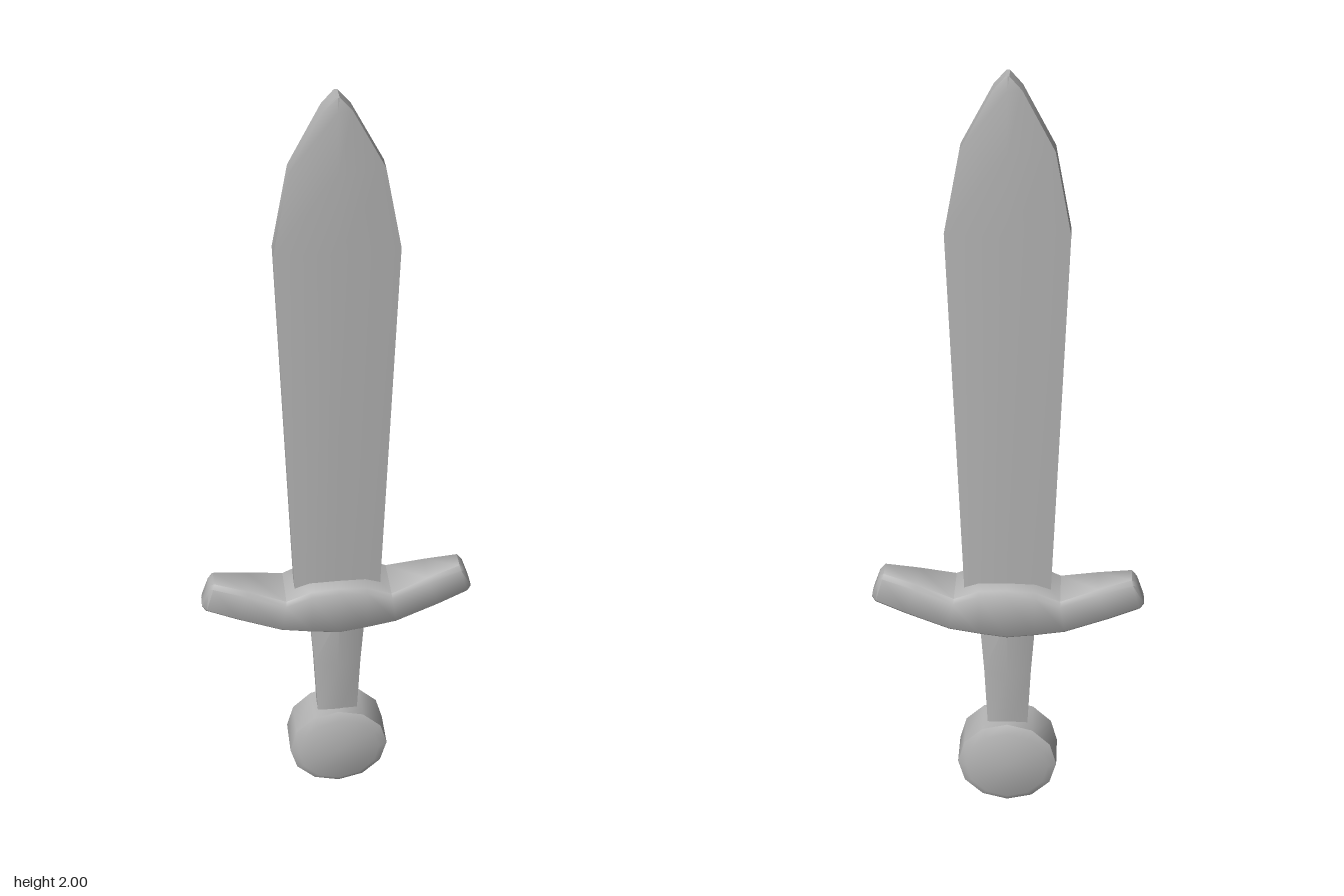
import * as THREE from 'three';
import { toCreasedNormals } from 'three/addons/utils/BufferGeometryUtils.js';

// Skin closed rings of [x, y, z] points and cap both ends.
function loft(rings, crease = 0.75) {
  const pos = [];
  const n = rings[0].length;
  const tri = (a, b, c) => pos.push(...a, ...b, ...c);
  for (let i = 0; i < rings.length - 1; i++) {
    for (let j = 0; j < n; j++) {
      const k = (j + 1) % n;
      const a = rings[i][j], b = rings[i][k], c = rings[i + 1][k], d = rings[i + 1][j];
      tri(a, b, c);
      tri(a, c, d);
    }
  }
  const cap = (ring, flip) => {
    const mid = [0, 1, 2].map(c => ring.reduce((s, p) => s + p[c], 0) / n);
    for (let j = 0; j < n; j++) {
      const a = ring[j], b = ring[(j + 1) % n];
      flip ? tri(mid, b, a) : tri(mid, a, b);
    }
  };
  cap(rings[0], true);
  cap(rings[rings.length - 1], false);
  const g = new THREE.BufferGeometry();
  g.setAttribute('position', new THREE.Float32BufferAttribute(pos, 3));
  return toCreasedNormals(g, crease);
}

// Six-sided section: flat narrow edges and a central ridge front and back.
const ridged = ([y, w, edge, ridge]) => [
  [0, y, ridge], [w, y, edge], [w, y, -edge],
  [0, y, -ridge], [-w, y, -edge], [-w, y, edge],
];

// Bevelled guard section between a top and a bottom point.
function guardRing([xt, yt, xb, yb, depth, b]) {
  const bv = b / (yt - yb);
  return [
    [1, depth - b], [1 - bv, depth], [bv, depth], [0, depth - b],
    [0, b - depth], [bv, -depth], [1 - bv, -depth], [1, b - depth],
  ].map(([t, z]) => [xb + (xt - xb) * t, yb + (yt - yb) * t, z]);
}

export function createModel() {
  const group = new THREE.Group();
  const grey = new THREE.MeshStandardMaterial({ color: 0xb4b4b4 });
  grey.name = 'grey';
  const add = (name, geometry) => {
    const mesh = new THREE.Mesh(geometry, grey);
    mesh.name = name;
    group.add(mesh);
  };

  // Blade: y, half width, edge half depth, ridge half depth
  add('blade', loft([
    [0.62, 0.106, 0.02, 0.03], [1.64, 0.14, 0.02, 0.034], [1.835, 0.103, 0.02, 0.037],
    [1.97, 0.031, 0.02, 0.028], [2.0, 0.004, 0.02, 0.022],
  ].map(ridged)));

  // Grip, widening towards the guard
  add('grip', loft([
    [0.22, 0.051, 0.02, 0.034], [0.42, 0.06, 0.021, 0.043], [0.6, 0.072, 0.022, 0.052],
  ].map(ridged)));

  // Crossguard: half of the stations, mirrored
  const half = [
    [0.07, 0.696, 0.07, 0.565, 0.068, 0.01],
    [0.132, 0.669, 0.145, 0.576, 0.065, 0.01],
    [0.225, 0.696, 0.255, 0.607, 0.047, 0.01],
    [0.308, 0.716, 0.332, 0.631, 0.032, 0.01],
    [0.319, 0.706, 0.341, 0.642, 0.023, 0.007],
  ];
  const left = half.map(([xt, yt, xb, ...rest]) => [-xt, yt, -xb, ...rest]).reverse();
  const centre = [0, 0.703, 0, 0.558, 0.071, 0.01];
  add('crossguard', loft([...left, centre, ...half].map(guardRing), 0.9));

  // Pommel: bevelled twelve-sided disc
  const disc = [[-0.061, 0.108], [-0.048, 0.13], [0.048, 0.13], [0.061, 0.108]];
  add('pommel', loft(disc.map(([z, r]) => Array.from({ length: 12 }, (_, i) => {
    const a = i * Math.PI / 6;
    return [r * Math.cos(a), 0.13 + r * Math.sin(a), z];
  })), 0.8));

  return group;
}
